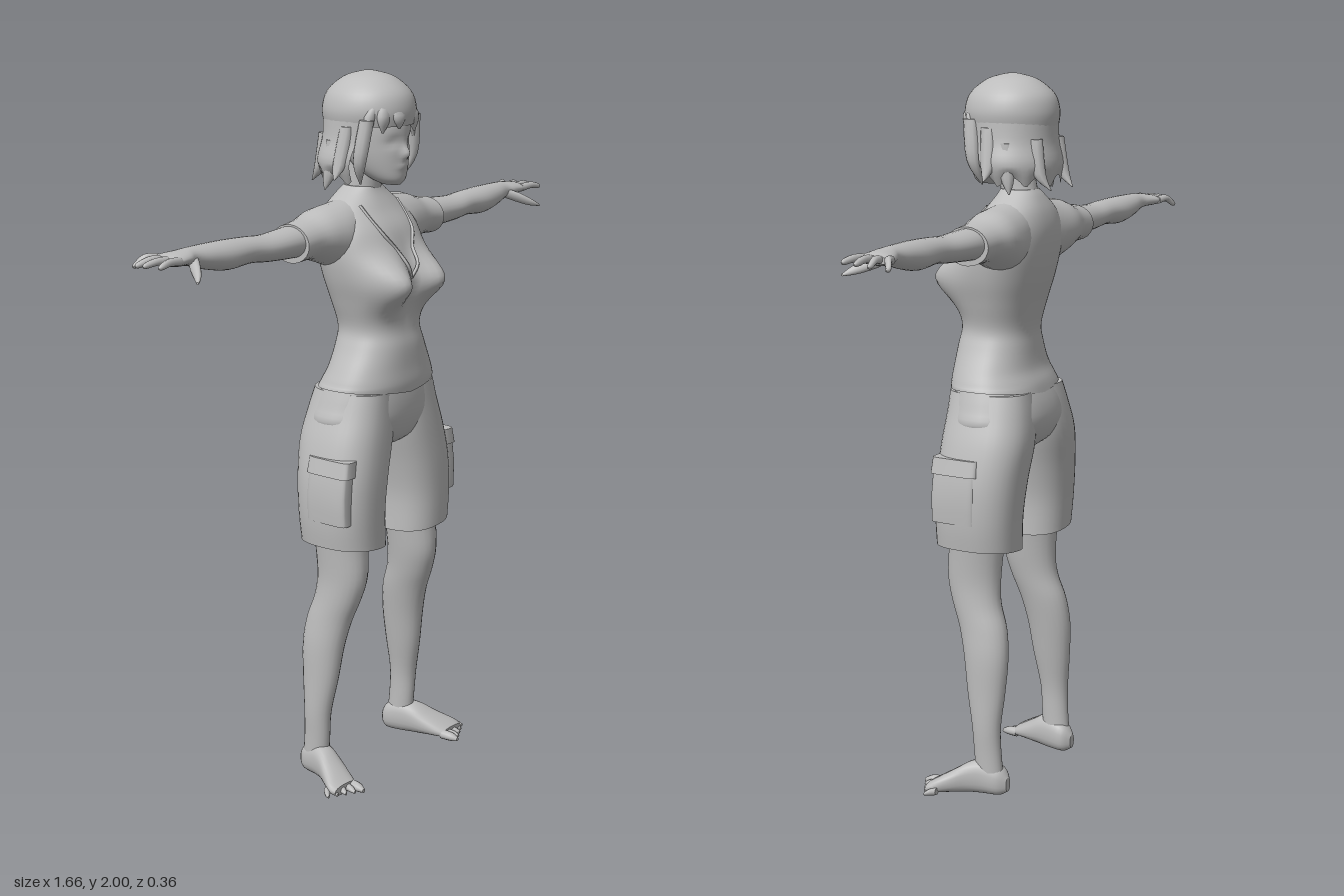
import * as THREE from 'three';

const clay = new THREE.MeshStandardMaterial({ color: 0xbcbcbc, side: THREE.DoubleSide });
clay.name = 'clay grey';

const gauss = (d, s) => Math.exp(-((d / s) ** 2));

// Ring directions for each sweep axis; U x V points along the axis
const AXES = {
  x: [[0, 1, 0], [0, 0, 1]],
  y: [[1, 0, 0], [0, 0, -1]],
  z: [[1, 0, 0], [0, 1, 0]],
};

const catmull = (a, b, c, d, t) =>
  0.5 * (2 * b + (c - a) * t + (2 * a - 5 * b + 4 * c - d) * t * t + (3 * b - a - 3 * c + d) * t ** 3);

// Smooth skin over stations [x, y, z, radiusU, radiusV], listed in rising order along the axis
function sweep(stations, axis, { n = 24, steps = 4, power = 2, arc = null, warp = null } = {}) {
  const [U, V] = AXES[axis];
  const last = stations.length - 1;
  const at = (i) => stations[Math.min(last, Math.max(0, i))];
  const pos = [], idx = [];
  const rows = last * steps + 1;
  const cols = arc ? n + 1 : n;
  const centres = [];
  for (let r = 0; r < rows; r++) {
    const i = Math.min(last - 1, Math.floor(r / steps));
    const t = r / steps - i;
    const s = at(i).map((_, k) => catmull(at(i - 1)[k], at(i)[k], at(i + 1)[k], at(i + 2)[k], t));
    centres.push(s.slice(0, 3));
    for (let j = 0; j < cols; j++) {
      const th = arc ? arc[0] + ((arc[1] - arc[0]) * j) / n : (j / n) * Math.PI * 2;
      const c = Math.cos(th), d = Math.sin(th);
      const u = s[3] * Math.sign(c) * Math.abs(c) ** (2 / power);
      const v = s[4] * Math.sign(d) * Math.abs(d) ** (2 / power);
      const p = [0, 1, 2].map((k) => s[k] + u * U[k] + v * V[k]);
      if (warp) warp(p, th);
      pos.push(...p);
    }
  }
  for (let r = 0; r < rows - 1; r++) {
    for (let j = 0; j < n; j++) {
      const k = (j + 1) % cols;
      const a = r * cols + j, b = r * cols + k;
      idx.push(a, b, b + cols, a, b + cols, a + cols);
    }
  }
  // Flat end caps with their own vertices, so the rims stay crisp
  if (!arc) {
    for (const r of [0, rows - 1]) {
      const base = pos.length / 3;
      pos.push(...pos.slice(r * cols * 3, (r + 1) * cols * 3), ...centres[r]);
      for (let j = 0; j < n; j++) {
        const a = base + j, b = base + ((j + 1) % n);
        idx.push(base + n, ...(r ? [a, b] : [b, a]));
      }
    }
  }
  const g = new THREE.BufferGeometry();
  g.setAttribute('position', new THREE.Float32BufferAttribute(pos, 3));
  g.setIndex(idx);
  g.computeVertexNormals();
  return g;
}

// Mirror across x and turn the triangles back outward
function mirrored(geo) {
  const g = geo.clone().scale(-1, 1, 1);
  const a = Array.from(g.index.array);
  for (let i = 0; i < a.length; i += 3) [a[i], a[i + 1]] = [a[i + 1], a[i]];
  g.setIndex(a);
  g.computeVertexNormals();
  return g;
}

export function createModel() {
  const model = new THREE.Group();
  model.name = 'standingFigure';
  const add = (name, geo) => {
    const m = new THREE.Mesh(geo, clay);
    m.name = name;
    model.add(m);
  };
  const pair = (name, geo) => {
    add(name + 'Left', geo);
    add(name + 'Right', mirrored(geo));
  };

  // Shirt body, with the bust raised by a rule
  const shirt = sweep([
    [0, 1.13, 0.01, 0.188, 0.125], [0, 1.16, 0.015, 0.182, 0.122], [0, 1.2, 0.022, 0.163, 0.112],
    [0, 1.26, 0.024, 0.133, 0.106], [0, 1.31, 0.02, 0.118, 0.1], [0, 1.38, 0.01, 0.135, 0.105],
    [0, 1.45, 0.003, 0.155, 0.117], [0, 1.52, -0.011, 0.165, 0.116], [0, 1.58, -0.022, 0.158, 0.108],
    [0, 1.63, -0.035, 0.125, 0.085], [0, 1.67, -0.038, 0.075, 0.062], [0, 1.69, -0.035, 0.05, 0.05],
  ], 'y', {
    n: 56, steps: 5, power: 2.3,
    warp: (p) => {
      if (p[2] > 0) {
        const lift = gauss(Math.abs(p[0]) - 0.082, 0.062) * gauss(p[1] - 1.44, 0.07);
        p[2] += 0.08 * lift * Math.min(1, p[2] / 0.05);
      }
      // Wavy hem
      if (p[1] < 1.16) p[1] += 0.1 * Math.abs(p[0]) * (1.16 - p[1]) / 0.03;
    },
  });
  add('shirtBody', shirt);
  pair('sleeve', sweep([
    [0.04, 1.575, -0.04, 0.09, 0.07], [0.12, 1.565, -0.04, 0.088, 0.085], [0.18, 1.57, -0.045, 0.074, 0.082],
    [0.235, 1.57, -0.045, 0.056, 0.07], [0.295, 1.565, -0.043, 0.052, 0.066],
  ], 'x'));

  // Neckline edge laid along the chest
  const sp = shirt.attributes.position;
  const chestZ = (x, y) => {
    let best = 1, z = 0;
    for (let i = 0; i < sp.count; i++) {
      const d = (sp.getX(i) - x) ** 2 + (sp.getY(i) - y) ** 2;
      if (sp.getZ(i) > 0 && d < best) { best = d; z = sp.getZ(i); }
    }
    return z;
  };
  const neckline = [[0, 1.45], [0.02, 1.485], [0.035, 1.53], [0.062, 1.57], [0.075, 1.61], [0.08, 1.645]]
    .map(([x, y]) => new THREE.Vector3(x, y, chestZ(x, y) + 0.001));
  pair('neckline', new THREE.TubeGeometry(new THREE.CatmullRomCurve3(neckline), 24, 0.005, 6));

  // Arms, hands and fingers
  pair('arm', sweep([
    [0.2, 1.57, -0.045, 0.045, 0.055], [0.3, 1.57, -0.043, 0.042, 0.055], [0.4, 1.57, -0.04, 0.036, 0.05],
    [0.47, 1.575, -0.042, 0.035, 0.045], [0.55, 1.574, -0.045, 0.039, 0.048], [0.62, 1.58, -0.048, 0.033, 0.041],
    [0.67, 1.587, -0.05, 0.025, 0.032], [0.7, 1.589, -0.051, 0.02, 0.04], [0.735, 1.588, -0.056, 0.017, 0.048],
    [0.757, 1.588, -0.057, 0.011, 0.046],
  ], 'x'));
  const fingers = [[-0.095, -0.122, 0.8, 1.575], [-0.07, -0.087, 0.825, 1.583], [-0.045, -0.053, 0.832, 1.587],
    [-0.021, -0.01, 0.822, 1.587]];
  fingers.forEach(([z0, z1, tip, y], i) => pair('finger' + (i + 1), sweep([
    [0.735, 1.588, z0, 0.012, 0.013], [(0.735 + tip) / 2, 1.592, (z0 + z1) / 2, 0.01, 0.011],
    [tip - 0.012, y, z1, 0.008, 0.008], [tip, y - 0.002, z1, 0.002, 0.002],
  ], 'x', { n: 10 })));
  pair('thumb', sweep([
    [0.665, 1.583, -0.04, 0.014, 0.016], [0.695, 1.568, -0.008, 0.015, 0.02],
    [0.72, 1.553, 0.022, 0.011, 0.014], [0.742, 1.542, 0.044, 0.003, 0.004],
  ], 'x', { n: 12 }));

  // Shorts: hips, legs and cargo pockets
  add('shortsHips', sweep([
    [0, 0.975, -0.003, 0.05, 0.08], [0, 1.0, -0.003, 0.14, 0.11], [0, 1.05, -0.003, 0.205, 0.128],
    [0, 1.1, 0.002, 0.194, 0.127], [0, 1.15, 0.01, 0.176, 0.116],
  ], 'y', { n: 40, power: 2.3 }));
  pair('shortsLeg', sweep([
    [0.143, 0.705, 0.01, 0.102, 0.118], [0.148, 0.8, 0.008, 0.105, 0.121], [0.138, 0.9, 0.004, 0.111, 0.125],
    [0.115, 1.0, -0.002, 0.112, 0.128], [0.095, 1.08, 0, 0.102, 0.122], [0.085, 1.14, 0.005, 0.09, 0.115],
  ], 'y', {
    n: 36, power: 2.4,
    warp: (p) => { if (p[1] < 0.76) p[1] += 0.1 * (p[0] - 0.14) * (0.76 - p[1]) / 0.055; },
  }));
  pair('cargoPocket', sweep([
    [0.231, 0.79, 0.035, 0.024, 0.068], [0.232, 0.87, 0.035, 0.025, 0.068], [0.221, 0.95, 0.035, 0.024, 0.066],
  ], 'y', { power: 5, steps: 2 }));
  pair('pocketFlap', sweep([
    [0.226, 0.925, 0.035, 0.027, 0.073], [0.217, 0.97, 0.035, 0.026, 0.071],
  ], 'y', { power: 5, steps: 1 }));

  // Legs, feet and toes
  pair('leg', sweep([
    [0.195, 0.03, -0.055, 0.03, 0.042], [0.197, 0.12, -0.047, 0.03, 0.041], [0.198, 0.2, -0.043, 0.033, 0.043],
    [0.19, 0.3, -0.038, 0.04, 0.057], [0.182, 0.4, -0.033, 0.047, 0.067], [0.172, 0.48, -0.018, 0.05, 0.072],
    [0.164, 0.55, 0.007, 0.052, 0.074], [0.158, 0.62, 0.018, 0.056, 0.08], [0.155, 0.72, 0.012, 0.066, 0.082],
    [0.15, 0.8, 0.01, 0.08, 0.09],
  ], 'y'));
  pair('foot', sweep([
    [0.19, 0.035, -0.108, 0.012, 0.02], [0.19, 0.043, -0.085, 0.032, 0.041], [0.197, 0.05, -0.04, 0.036, 0.049],
    [0.21, 0.047, 0, 0.04, 0.045], [0.228, 0.035, 0.04, 0.047, 0.033], [0.248, 0.023, 0.08, 0.052, 0.021],
    [0.252, 0.017, 0.102, 0.045, 0.014],
  ], 'z', { power: 2.4, warp: (p) => { p[1] = Math.max(0.002, p[1]); } }));
  for (let i = 0; i < 5; i++) {
    const x = 0.216 + i * 0.019, z = 0.093 - i * 0.007;
    const r = i ? 0.0105 : 0.014, length = 0.052 - i * 0.006, out = 0.006 + i * 0.004;
    pair('toe' + (i + 1), sweep([
      [x, 0.015, z, r, r], [x + out * 0.6, 0.014, z + length * 0.6, r, r * 0.9],
      [x + out, 0.01, z + length, r * 0.4, r * 0.4],
    ], 'z', { n: 10 }));
  }

  // Neck and head, with nose and eye sockets shaped by a rule
  add('neck', sweep([
    [0, 1.62, -0.045, 0.06, 0.055], [0, 1.68, -0.035, 0.046, 0.052], [0, 1.77, -0.015, 0.046, 0.055],
  ], 'y'));
  add('head', sweep([
    [0, 1.7, 0.062, 0.02, 0.03], [0, 1.716, 0.05, 0.043, 0.054], [0, 1.75, 0.025, 0.064, 0.083],
    [0, 1.8, 0.01, 0.078, 0.1], [0, 1.87, 0, 0.085, 0.11], [0, 1.93, -0.01, 0.078, 0.098],
    [0, 1.97, -0.01, 0.045, 0.055],
  ], 'y', {
    n: 64, steps: 6,
    warp: (p) => {
      if (p[2] < 0.04) return;
      p[2] += 0.019 * gauss(p[0], 0.012) * gauss(p[1] - 1.787, 0.016);
      p[2] -= 0.008 * gauss(Math.abs(p[0]) - 0.034, 0.02) * gauss(p[1] - 1.818, 0.014);
      p[2] += 0.005 * gauss(p[0], 0.02) * gauss(p[1] - 1.752, 0.008);
    },
  }));

  // Bobbed hair: crown, open-fronted lower layer, fringe and flicked locks
  add('hairCrown', sweep([
    [0, 1.86, -0.013, 0.117, 0.127], [0, 1.9, -0.012, 0.122, 0.132], [0, 1.945, -0.012, 0.107, 0.118],
    [0, 1.982, -0.012, 0.066, 0.073], [0, 1.997, -0.012, 0.022, 0.026], [0, 2.0, -0.012, 0.004, 0.004],
  ], 'y', { n: 40 }));
  add('hairBack', sweep([
    [0, 1.7, -0.035, 0.118, 0.108], [0, 1.76, -0.032, 0.138, 0.118], [0, 1.82, -0.02, 0.124, 0.12],
    [0, 1.88, -0.012, 0.119, 0.129],
  ], 'y', {
    n: 48, arc: [-0.45, Math.PI + 0.45],
    warp: (p, th) => { if (p[1] < 1.76) p[1] += 0.03 * Math.abs(Math.sin(th * 4.5)) * (1.76 - p[1]) / 0.06; },
  }));
  const locks = [
    [[0.09, 1.705, 0.03], [0.112, 1.77, 0.045], [0.1, 1.88, 0.06]],
    [[0.152, 1.72, -0.01], [0.13, 1.76, -0.01], [0.108, 1.86, 0.0]],
    [[0.12, 1.685, -0.07], [0.112, 1.73, -0.06], [0.105, 1.82, -0.05]],
    [[0.06, 1.695, -0.165], [0.065, 1.74, -0.13], [0.06, 1.83, -0.115]],
  ];
  locks.forEach(([tip, mid, root], i) => pair('hairLock' + (i + 1), sweep([
    [...tip, 0.002, 0.002], [...mid, 0.016, 0.02], [...root, 0.018, 0.022],
  ], 'y', { n: 10 })));
  const fringe = [[-0.1, 1.825, 0.06, 0.02], [-0.07, 1.845, 0.09, 0.026], [-0.025, 1.855, 0.11, 0.026],
    [0.06, 1.84, 0.095, 0.026], [0.095, 1.82, 0.065, 0.022]];
  fringe.forEach(([x, y, z, w], i) => add('fringe' + (i + 1), sweep([
    [x, y, z, 0.003, 0.003], [x * 0.85 - 0.002, 1.89, z * 0.85 + 0.012, w, 0.016],
    [x * 0.35 - 0.01, 1.955, 0.065, w * 0.6, 0.015],
  ], 'y', { n: 12 })));

  return model;
}
